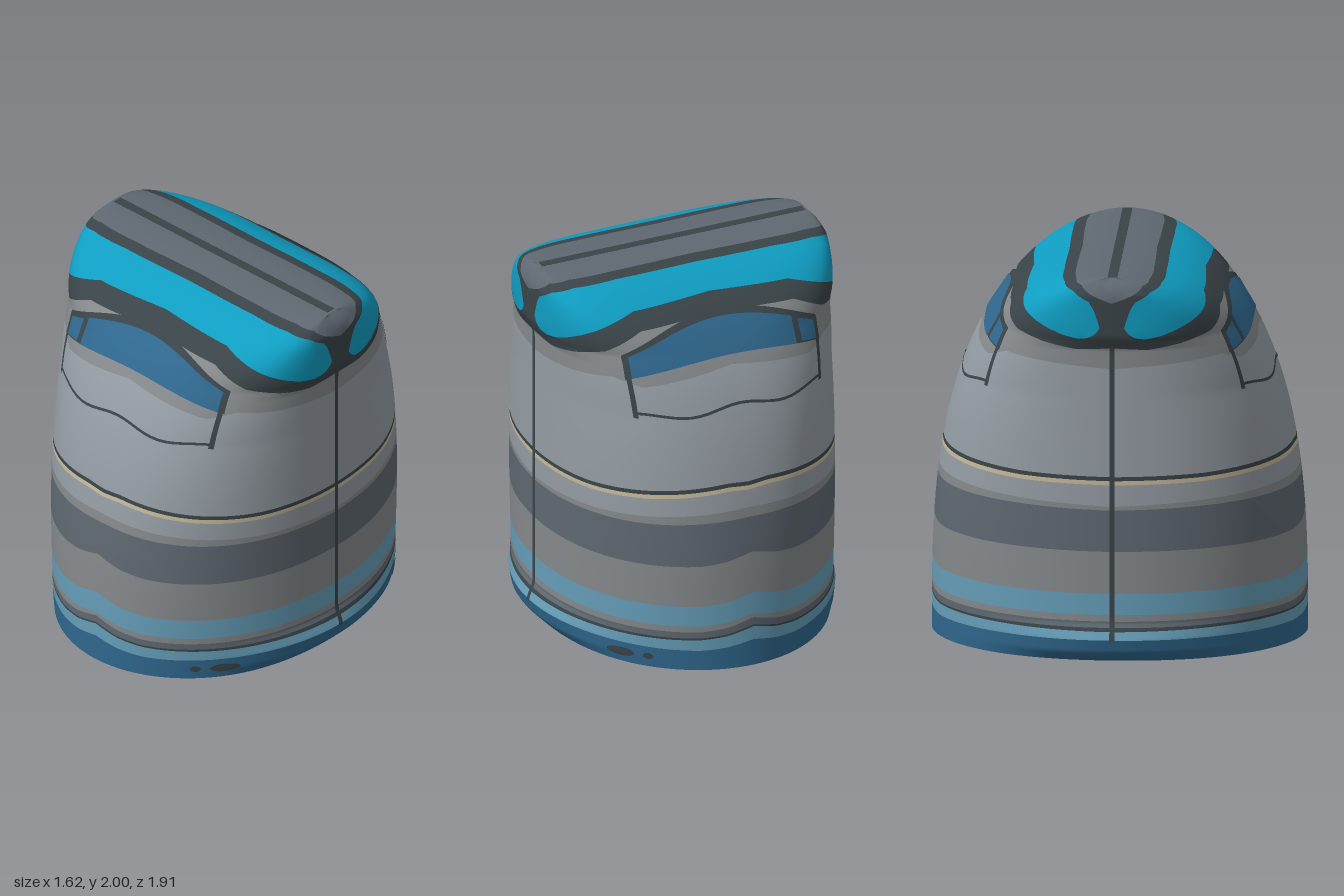
import * as THREE from 'three';

const paint = (name, color) => {
  const m = new THREE.MeshStandardMaterial({ color, side: THREE.DoubleSide });
  m.name = name;
  return m;
};
const MAT = {
  grey: paint('grey', 0x949ca3),
  warm: paint('warm grey', 0x85898b),
  slate: paint('slate grey', 0x5f6871),
  dark: paint('charcoal', 0x3a4448),
  cyan: paint('cyan', 0x0f9dc2),
  blue: paint('deep blue', 0x2f678d),
  sky: paint('light blue', 0x659db8),
  cream: paint('cream', 0xc4b99a),
};

// Linear lookup in a list of [key, value] with rising keys
function lookup(table, k) {
  for (let i = 1; i < table.length; i++) {
    const [k0, v0] = table[i - 1], [k1, v1] = table[i];
    if (k <= k1) return v0 + (v1 - v0) * Math.max(0, (k - k0) / (k1 - k0));
  }
  return table[table.length - 1][1];
}

// Shell: arched in depth, nearly straight in width, with flared side seams
const WIDTH = 0.775;
const SIDE = [[0, 0.745], [0.05, 0.795], [0.12, 0.81], [0.17, 0.79], [0.2, WIDTH],
  [1.63, WIDTH], [1.7, 0.805], [1.92, 0.81], [1.97, 0.78], [2, 0.74]];
const POWER = [[0, 2], [1.38, 2.35], [1.68, 2.7], [1.88, 4], [2, 5]];
const depth = (y) => 0.955 * Math.pow(Math.max(0, 1 - Math.pow(y / 2, 2.85)), 0.42);

function shell(angle, y) {
  const n = lookup(POWER, y), c = Math.cos(angle), s = Math.sin(angle);
  const r = Math.pow(Math.abs(c) ** n + Math.abs(s) ** n, -1 / n);
  const flare = (lookup(SIDE, y) - WIDTH) * Math.sign(c) * Math.abs(c) ** 6;
  return new THREE.Vector3(WIDTH * r * c + flare, y, depth(y) * r * s);
}

// Point on the front half of the shell above a given x
function shellAtX(x, y) {
  const n = lookup(POWER, y), q = Math.min(1, Math.abs(x) / WIDTH);
  return shell(Math.atan2(Math.pow(1 - q ** n, 1 / n), Math.sign(x) * q), y);
}

// Grid surface from a function of u (across) and v (down)
function surface(name, material, fn, nu, nv) {
  const pos = [], index = [];
  for (let j = 0; j <= nv; j++)
    for (let i = 0; i <= nu; i++) pos.push(...fn(i / nu, j / nv).toArray());
  for (let j = 0; j < nv; j++)
    for (let i = 0; i < nu; i++) {
      const a = j * (nu + 1) + i, c = a + nu + 1;
      index.push(a, a + 1, c, a + 1, c + 1, c);
    }
  const g = new THREE.BufferGeometry();
  g.setAttribute('position', new THREE.Float32BufferAttribute(pos, 3));
  g.setIndex(index);
  g.computeVertexNormals();
  const mesh = new THREE.Mesh(g, material);
  mesh.name = name;
  return mesh;
}

// Lower edge of each band, as [degrees from the side seam, height]
const flat = (side, mid, peak) => [[0, side], [70, mid], [80, mid + (peak - mid) * 0.3], [90, peak]];
const line = (d) => [[0, 0.965 - d], [30, 0.975 - d], [60, 1 - d], [82, 1.02 - d], [90, 1.012 - d]];
const BANDS = [
  ['crown', 'slate', [[0, 1.88], [15, 1.92], [30, 1.965], [45, 1.98], [60, 1.983], [90, 1.985]]],
  ['crownBorder', 'dark', [[0, 1.75], [6, 1.75], [8, 1.8], [11, 1.85], [15, 1.885], [30, 1.935],
    [45, 1.96], [60, 1.967], [90, 1.969]]],
  ['crownPanel', 'cyan', [[0, 1.75], [6, 1.75], [8, 1.715], [11, 1.697], [15, 1.69], [22, 1.705],
    [30, 1.735], [45, 1.8], [60, 1.868], [90, 1.886]]],
  ['lowerCrownBorder', 'dark', [[0, 1.64], [15, 1.63], [30, 1.66], [45, 1.7], [52, 1.74], [60, 1.79], [90, 1.815]]],
  ['shoulderBand', 'warm', [[0, 1.53], [30, 1.56], [45, 1.575], [55, 1.53], [90, 1.59]]],
  ['upperBody', 'grey', line(0)],
  ['waistLine', 'dark', line(0.021)],
  ['waistTrim', 'cream', line(0.043)],
  ['lowerBody', 'grey', [[0, 0.81], [30, 0.835], [60, 0.86], [90, 0.877]]],
  ['upperSlateEdge', 'warm', [[0, 0.79], [30, 0.805], [60, 0.815], [90, 0.825]]],
  ['slateBand', 'slate', flat(0.575, 0.585, 0.635)],
  ['skirt', 'warm', flat(0.355, 0.36, 0.41)],
  ['skyBand', 'sky', flat(0.245, 0.248, 0.29)],
  ['hemGreyStripe', 'warm', flat(0.21, 0.215, 0.268)],
  ['hemSlateStripe', 'slate', flat(0.18, 0.18, 0.228)],
  ['hemLine', 'dark', flat(0.16, 0.17, 0.218)],
  ['hemSkyStripe', 'sky', flat(0.12, 0.11, 0.145)],
  ['hem', 'blue', [[0, 0], [90, 0]]],
];

export function createModel() {
  const model = new THREE.Group();
  model.name = 'stripedShell';

  // Body bands, from the crown ridge down to the open hem
  let upper = [[0, 2], [90, 2]];
  for (const [name, mat, lower] of BANDS) {
    const top = upper, rows = Math.max(2, Math.ceil((lookup(top, 90) - lookup(lower, 90)) / 0.03)) + 4;
    const fn = (u, v) => {
      const a = u * Math.PI * 2;
      const deg = THREE.MathUtils.radToDeg(Math.asin(Math.min(1, Math.abs(Math.sin(a)))));
      const t = name === 'crown' ? v ** 2.4 : v;
      return shell(a, THREE.MathUtils.lerp(lookup(top, deg), lookup(lower, deg), t));
    };
    model.add(surface(name, MAT[mat], fn, 240, rows));
    upper = lower;
  }

  // Thin plates laid on the front and back, both outside and inside
  const centre = new THREE.Vector3(0, 0.6, 0);
  const plate = (name, mat, lift, xy, nu = 24, nv = 6) => {
    const group = new THREE.Group();
    group.name = name;
    for (const face of [1, -1])
      for (const e of [lift, -lift])
        group.add(surface(name + (face > 0 ? 'Front' : 'Back') + (e > 0 ? 'Outer' : 'Inner'), MAT[mat], (u, v) => {
          const p = shellAtX(...xy(face > 0 ? 1 - u : u, v));
          p.z *= face;
          return p.sub(centre).multiplyScalar(1 + e).add(centre);
        }, nu, nv));
    model.add(group);
  };
  // Plate between two edge curves over a range of x
  const window = (name, mat, lift, x0, x1, top, bottom) => plate(name, mat, lift, (u, v) => {
    const x = THREE.MathUtils.lerp(x0, x1, u);
    return [x, THREE.MathUtils.lerp(top(x), bottom(x), v)];
  });
  const sill = (x) => 1.632 - 0.23 * x * x;
  window('visorFrame', 'dark', 0.003, -0.545, 0.545, (x) => 1.822 - 0.48 * x * x, sill);
  window('visorGlass', 'blue', 0.006, -0.385, 0.515, (x) => 1.79 - 0.45 * x * x, (x) => sill(x) - 0.002);
  window('visorSidePane', 'blue', 0.006, -0.52, -0.42, (x) => 1.785 - 0.46 * x * x, (x) => sill(x) + 0.006);

  // Outline of the panel below the visor
  for (const s of [1, -1])
    plate(s > 0 ? 'leftPanelLine' : 'rightPanelLine', 'dark', 0.004,
      (u, v) => [s * (0.535 - 0.02 * v) + (u - 0.5) * 0.022, 1.67 - 0.3 * v], 2, 16);
  window('lowerPanelLine', 'dark', 0.004, -0.525, 0.525,
    (x) => 1.398 + 0.017 * Math.cos(x * 12) - 0.05 * x * x,
    (x) => 1.384 + 0.017 * Math.cos(x * 12) - 0.05 * x * x);

  // Small oval marks on the hem
  for (const [x, rx, ry] of [[0.49, 0.02, 0.017], [0.585, 0.045, 0.024]])
    plate('hemMark', 'dark', 0.004, (u, v) => {
      const a = u * Math.PI * 2;
      return [x + rx * v * Math.cos(a), 0.063 + ry * v * Math.sin(a)];
    }, 20, 2);

  // Side seams, inside and out
  for (const s of [1, -1])
    for (const e of [0.004, -0.004])
      model.add(surface(s > 0 ? 'leftSeam' : 'rightSeam', MAT.dark, (u, v) => {
        const y = 1.66 - 1.55 * v, p = shell(0, y);
        return new THREE.Vector3(s * (p.x + e), y, s * (u - 0.5) * 0.026);
      }, 2, 60));

  // Seam along the crown ridge
  const ridge = new THREE.Mesh(new THREE.BoxGeometry(1.48, 0.003, 0.05), MAT.dark);
  ridge.name = 'ridgeSeam';
  ridge.position.y = 1.9995;
  model.add(ridge);

  return model;
}
